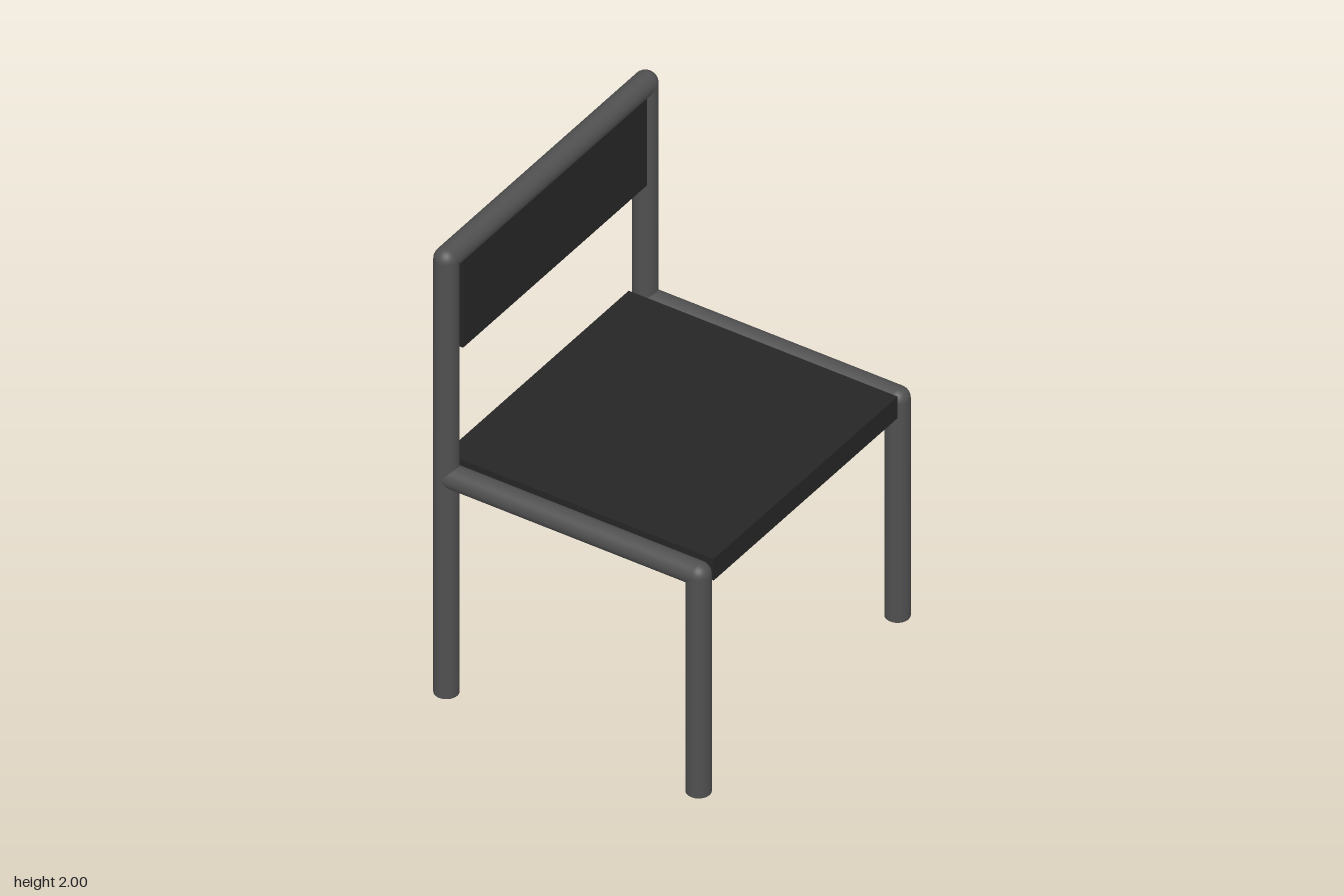
import * as THREE from 'three';

const R = 0.048;   // tube radius
const X = 0.552;   // leg axis offset, back at -x
const Z = 0.652;   // side frame offset
const SEAT_Y = 0.98;
const TOP_Y = 2 - R;

export function createModel() {
  const chair = new THREE.Group();
  chair.name = 'chair';
  const tubeMat = new THREE.MeshStandardMaterial({ color: 0x505050 });
  const panelMat = new THREE.MeshStandardMaterial({ color: 0x262626 });

  const add = (name, geometry, material, position) => {
    const mesh = new THREE.Mesh(geometry, material);
    mesh.name = name;
    mesh.position.copy(position);
    chair.add(mesh);
    return mesh;
  };

  // Straight round tube between two points
  const tube = (name, a, b) => {
    const from = new THREE.Vector3(...a), to = new THREE.Vector3(...b);
    const dir = to.clone().sub(from);
    const mesh = add(name, new THREE.CylinderGeometry(R, R, dir.length(), 32), tubeMat,
      from.clone().add(to).multiplyScalar(0.5));
    mesh.quaternion.setFromUnitVectors(new THREE.Vector3(0, 1, 0), dir.normalize());
  };

  // Ball that rounds the corner where two tubes meet
  const joint = (name, x, y, z) =>
    add(name, new THREE.SphereGeometry(R, 32, 20), tubeMat, new THREE.Vector3(x, y, z));

  // Panel given by its extents in x and y, spanning the side frames
  const panel = (name, x0, x1, y0, y1) =>
    add(name, new THREE.BoxGeometry(x1 - x0, y1 - y0, 1.206), panelMat,
      new THREE.Vector3((x0 + x1) / 2, (y0 + y1) / 2, 0));

  // Two mirrored side frames
  for (const [side, s] of [['left', 1], ['right', -1]]) {
    const z = s * Z;
    tube(side + 'BackPost', [-X, 0, z], [-X, TOP_Y, z]);
    joint(side + 'TopCorner', -X, TOP_Y, z);
    tube(side + 'FrontLeg', [X, 0, z], [X, SEAT_Y, z]);
    joint(side + 'FrontCorner', X, SEAT_Y, z);
    tube(side + 'SeatRail', [-X, SEAT_Y, z], [X, SEAT_Y, z]);
  }

  // Top rail, seat and backrest
  tube('topRail', [-X, TOP_Y, -Z], [-X, TOP_Y, Z]);
  panel('seat', -0.592, 0.585, 0.931, 1.028);
  panel('backrest', -X - 0.04, -X + 0.04, 1.535, TOP_Y);

  return chair;
}
